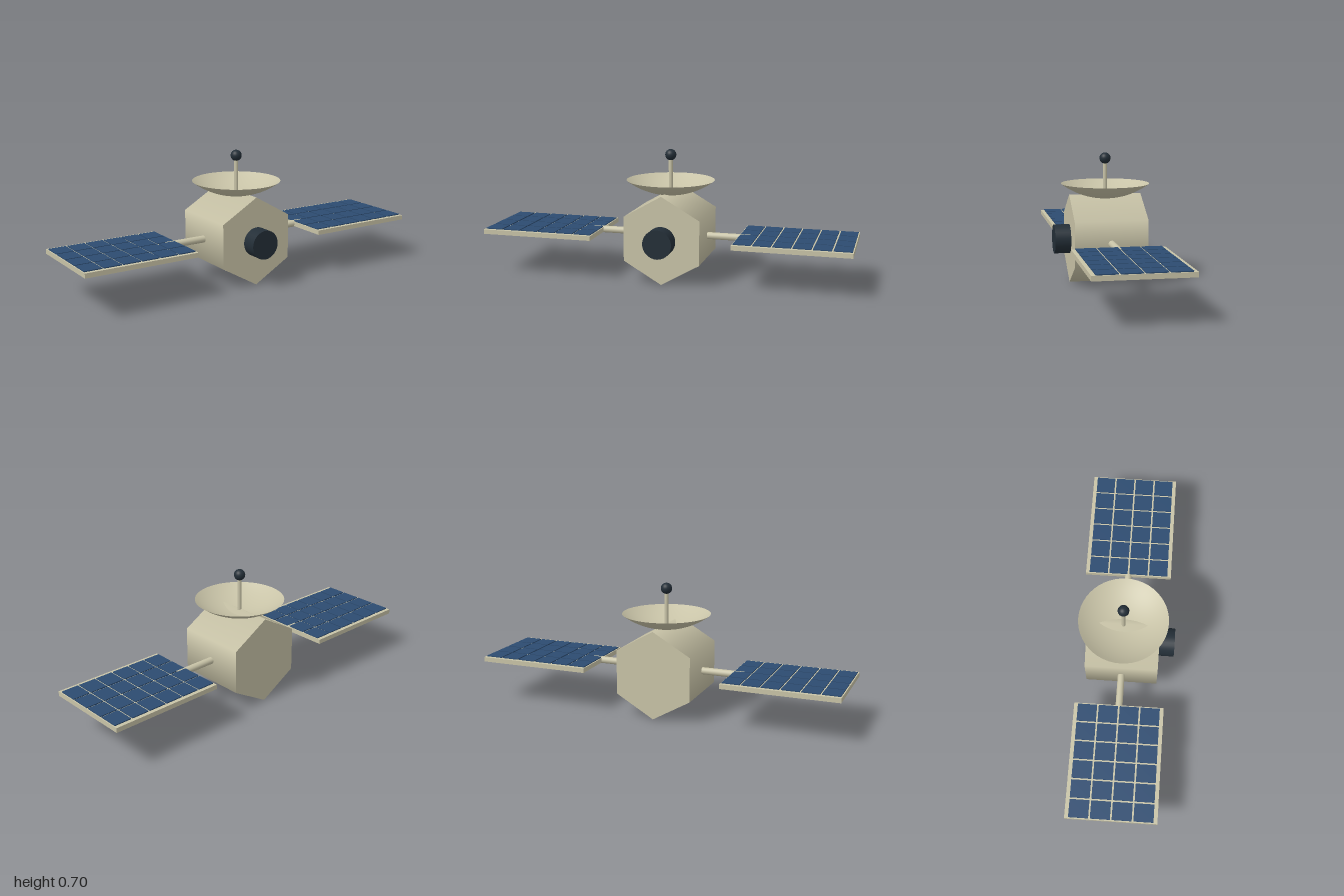
import * as THREE from 'three';

const CY = 0.24;   // height of the body axis
const CZ = -0.018; // depth of the body centre

export function createModel() {
  const group = new THREE.Group();
  const hull = new THREE.MeshStandardMaterial({ color: 0xc8c3a7 });
  hull.name = 'hull beige';
  hull.side = THREE.DoubleSide;
  const dark = new THREE.MeshStandardMaterial({ color: 0x232e37 });
  dark.name = 'dark slate';
  const blue = new THREE.MeshStandardMaterial({ color: 0x2c4b70 });
  blue.name = 'cell blue';

  const add = (name, geometry, material, x, y, z, parent = group) => {
    const mesh = new THREE.Mesh(geometry, material);
    mesh.name = name;
    mesh.position.set(x, y, z);
    parent.add(mesh);
    return mesh;
  };

  // Hexagonal body lying along z, with a ridge at top and bottom
  add('body', new THREE.CylinderGeometry(0.239, 0.239, 0.391, 6).rotateX(Math.PI / 2), hull, 0, CY, CZ);

  // Round sensor on the front face
  add('sensor', new THREE.CylinderGeometry(0.078, 0.078, 0.086, 32).rotateX(Math.PI / 2), dark, 0, CY, 0.219);

  // Shallow dish: a cap of a large sphere
  const R = 0.394, rim = 0.238, profile = [];
  for (let i = 0; i <= 14; i++) {
    const r = rim * i / 14;
    profile.push(new THREE.Vector2(r, R - Math.sqrt(R * R - r * r)));
  }
  add('dish', new THREE.LatheGeometry(profile, 48), hull, 0, 0.457, CZ);

  // Feed mast and ball above the dish
  add('mast', new THREE.CylinderGeometry(0.011, 0.011, 0.2, 16), hull, 0, 0.56, CZ);
  add('feedBall', new THREE.SphereGeometry(0.03, 24, 16), dark, 0, 0.673, CZ);

  // Small nozzle just breaking through the bottom ridge
  add('nozzle', new THREE.CylinderGeometry(0.011, 0.011, 0.03, 12), hull, 0, 0.016, -0.11);

  // Solar wings: boom, frame and a grid of 6 x 4 cells on each side
  const cols = 6, rows = 4, pitchX = 0.1025, pitchZ = 0.1125;
  const cell = new THREE.BoxGeometry(0.0935, 0.006, 0.1035);
  for (const side of [1, -1]) {
    const wing = new THREE.Group();
    wing.name = side > 0 ? 'leftWing' : 'rightWing';
    group.add(wing);
    add('boom', new THREE.CylinderGeometry(0.019, 0.019, 0.26, 16).rotateZ(Math.PI / 2), hull, side * 0.31, CY, CZ, wing);
    add('panelFrame', new THREE.BoxGeometry(0.618, 0.025, 0.482), hull, side * 0.691, 0.2405, CZ, wing);
    for (let i = 0; i < cols; i++) {
      for (let j = 0; j < rows; j++) {
        const x = side * 0.691 + (i - (cols - 1) / 2) * pitchX;
        const z = CZ + (j - (rows - 1) / 2) * pitchZ;
        add('solarCell', cell, blue, x, 0.255, z, wing);
      }
    }
  }
  return group;
}
